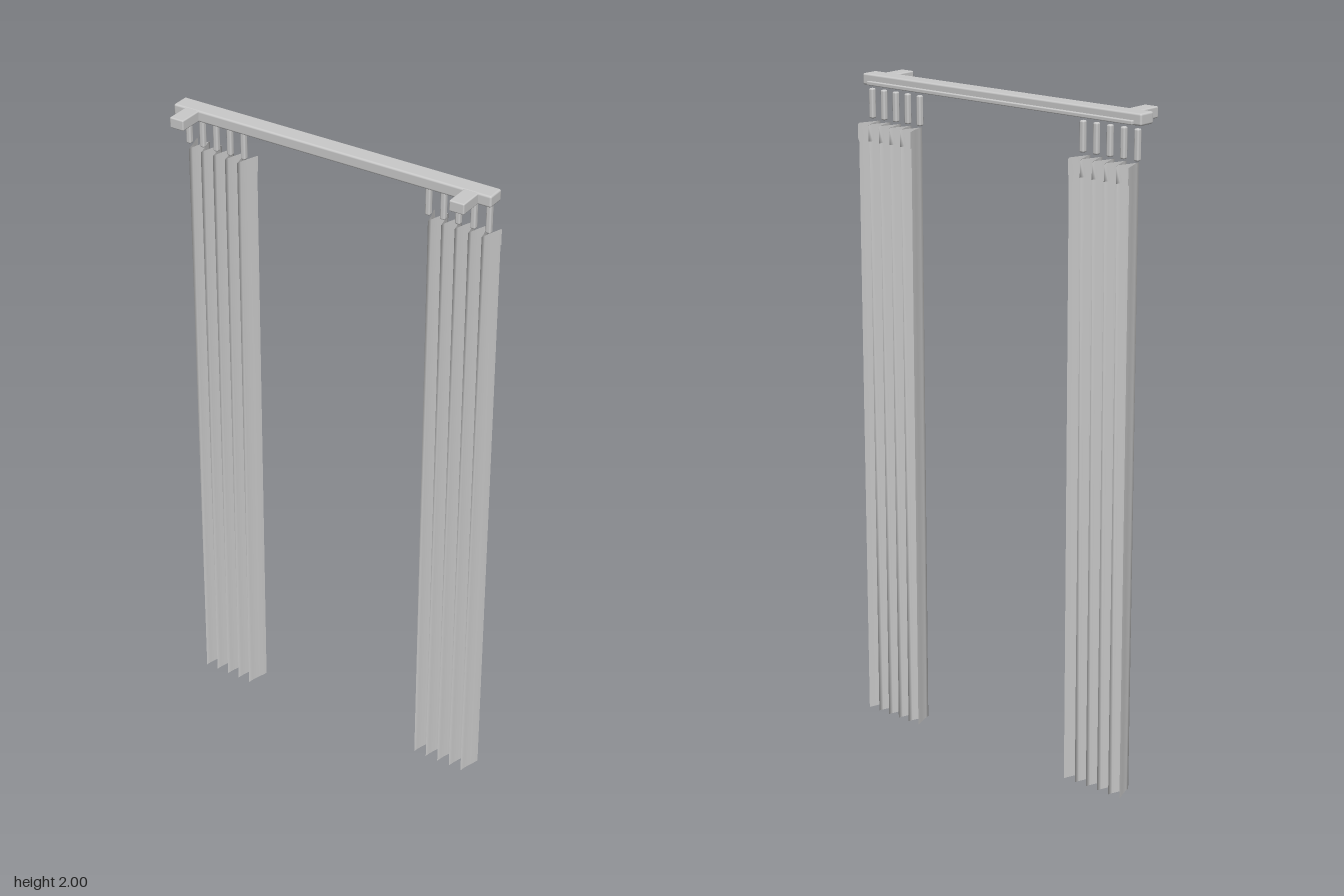
import * as THREE from 'three';
import { RoundedBoxGeometry } from 'three/addons/geometries/RoundedBoxGeometry.js';

const metal = new THREE.MeshStandardMaterial({ color: 0xcacaca });
metal.name = 'rail grey';
const fabric = new THREE.MeshStandardMaterial({ color: 0xcacaca, side: THREE.DoubleSide });
fabric.name = 'curtain grey';

// Rounded box given by its limits on each axis
function box(name, x0, x1, y0, y1, z0, z1, r = 0.006) {
  const mesh = new THREE.Mesh(new RoundedBoxGeometry(x1 - x0, y1 - y0, z1 - z0, 2, r), metal);
  mesh.name = name;
  mesh.position.set((x0 + x1) / 2, (y0 + y1) / 2, (z0 + z1) / 2);
  return mesh;
}

const PLEATS = 5, WIDTH = 0.207, BACK = -0.08, FRONT = -0.011;
// Half a pleat, from its back fold (0) to its front fold (1): [across, forward]
const HALF = [[0, 0], [0.2, 0.2], [0.45, 0.4], [0.68, 0.6], [0.86, 0.8], [1, 1]];

// Points of the pleated cross-section, with sharp folds
function pleatLine() {
  const pts = [], half = WIDTH / PLEATS / 2;
  for (let i = 0; i < PLEATS; i++) {
    const mid = -WIDTH / 2 + (2 * i + 1) * half;
    for (const [a, f] of HALF) pts.push([mid - half * (1 - a), BACK + (FRONT - BACK) * f]);
    for (const [a, f] of HALF.slice(1, -1).reverse()) pts.push([mid + half * (1 - a), BACK + (FRONT - BACK) * f]);
  }
  pts.push([WIDTH / 2, BACK]);
  return pts;
}

// Upright sheet following the pleat line
function sheet(name, y0, y1, dz) {
  const line = pleatLine();
  const geo = new THREE.PlaneGeometry(1, y1 - y0, line.length - 1, 1);
  const pos = geo.attributes.position;
  for (let i = 0; i < pos.count; i++) {
    const [x, z] = line[i % line.length];
    pos.setXYZ(i, x, pos.getY(i) + (y0 + y1) / 2, z + dz);
  }
  geo.computeVertexNormals();
  const mesh = new THREE.Mesh(geo, fabric);
  mesh.name = name;
  return mesh;
}

export function createModel() {
  const group = new THREE.Group();
  group.name = 'curtainSet';

  // Rail, wall brackets and the runner strip behind
  group.add(box('rail', -0.51, 0.51, 1.966, 2, -0.045, 0.011));
  group.add(box('runnerStrip', -0.486, 0.486, 1.968, 1.98, -0.054, -0.04, 0.003));
  for (const s of [-1, 1]) {
    const x = s * 0.448;
    group.add(box('bracket', x - 0.023, x + 0.023, 1.967, 1.999, 0.004, 0.084, 0.004));
  }

  // Gathered curtains with a header tape and hanging hooks
  for (const [name, cx] of [['rightCurtain', -0.396], ['leftCurtain', 0.391]]) {
    const curtain = new THREE.Group();
    curtain.name = name;
    curtain.add(sheet('pleatedCloth', 0, 1.86, 0));
    curtain.add(sheet('headerTape', 1.81, 1.858, -0.004));
    for (let i = 0; i < 5; i++) {
      const x = (i - 2) * 0.0467;
      curtain.add(box('hook', x - 0.008, x + 0.008, 1.868, 1.957, -0.04, -0.023, 0.005));
    }
    curtain.position.x = cx;
    group.add(curtain);
  }
  return group;
}
